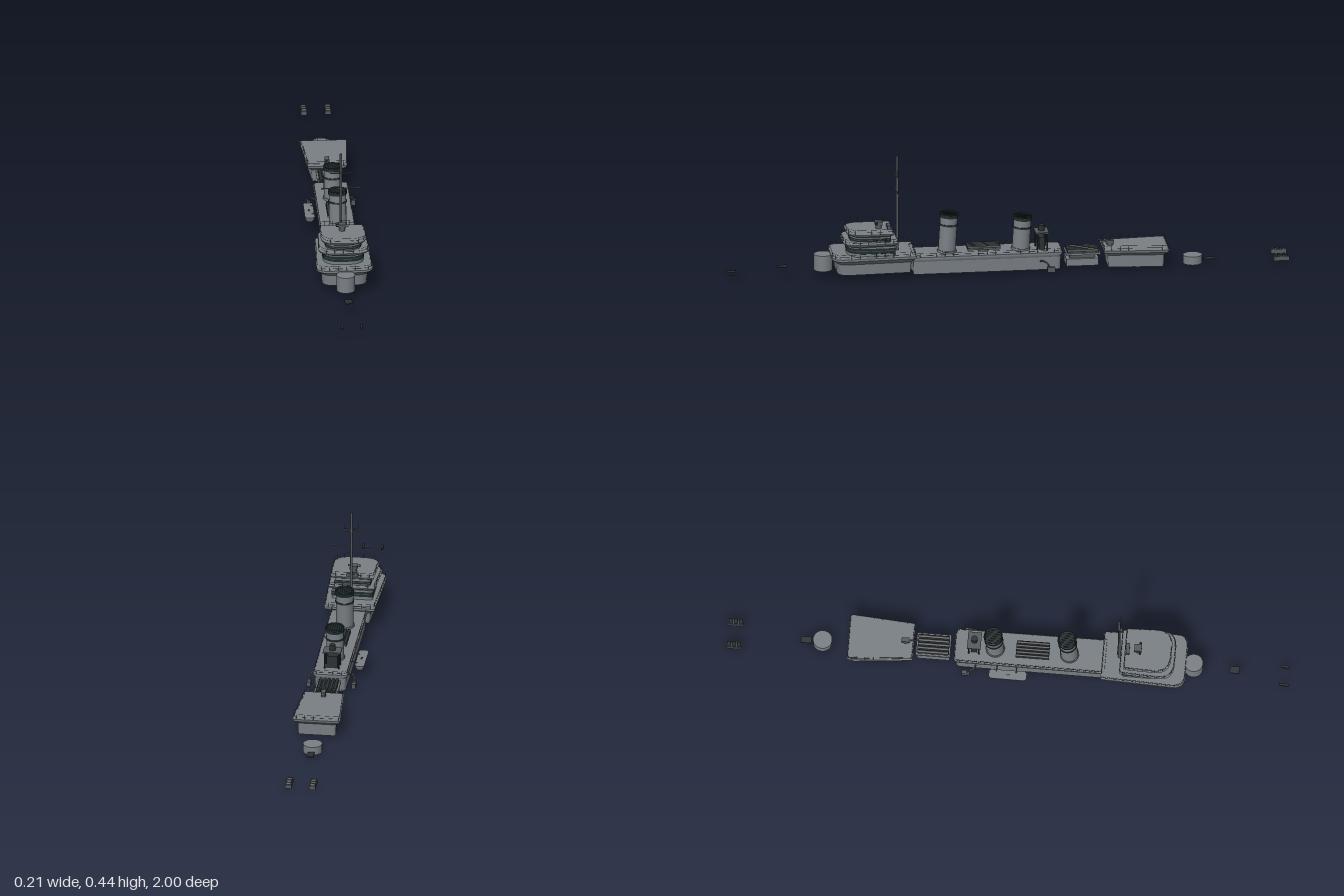
import * as THREE from 'three';
import { mergeGeometries, toCreasedNormals } from 'three/addons/utils/BufferGeometryUtils.js';

const material = (name, color, side = THREE.FrontSide) => {
  const m = new THREE.MeshStandardMaterial({ color, side });
  m.name = name;
  return m;
};
const V = (x, y, z) => new THREE.Vector3(x, y, z);

// Plan outline: tapered rectangle with rounded corners, as [x, z] points
function outline({ wb, wf, zb, zf, rb = 0.008, rf = 0.02 }, inset = 0) {
  const c = [[wf - inset, zf - inset, rf], [wb - inset, zb + inset, rb],
    [inset - wb, zb + inset, rb], [inset - wf, zf - inset, rf]];
  const pts = [];
  c.forEach(([x, z, r], i) => {
    const p = new THREE.Vector2(x, z);
    const toward = (k) => {
      const q = new THREE.Vector2(c[k % 4][0], c[k % 4][1]).sub(p);
      return p.clone().add(q.setLength(Math.min(r, q.length() * 0.49)));
    };
    new THREE.QuadraticBezierCurve(toward(i + 3), p, toward(i + 1))
      .getPoints(6).forEach((v) => pts.push([v.x, v.y]));
  });
  return pts;
}

// Skin through rings of [y, inset] of one plan, closed or open at both ends
function loft(plan, levels, closed = true) {
  const rings = levels.map(([y, d]) => outline(plan, d).map(([x, z]) => [x, y, z]));
  const n = rings[0].length, pos = [];
  for (let k = 0; k < rings.length - 1; k++) {
    for (let i = 0; i < n; i++) {
      const j = (i + 1) % n, a = rings[k], b = rings[k + 1];
      pos.push(...a[i], ...a[j], ...b[j], ...a[i], ...b[j], ...b[i]);
    }
  }
  const lo = rings[0], hi = rings[rings.length - 1];
  for (let i = 1; closed && i < n - 1; i++) {
    pos.push(...hi[0], ...hi[i], ...hi[i + 1], ...lo[0], ...lo[i + 1], ...lo[i]);
  }
  const g = new THREE.BufferGeometry();
  g.setAttribute('position', new THREE.Float32BufferAttribute(pos, 3));
  return toCreasedNormals(g, 0.5);
}

// Thin rod between two points
function rod(a, b, r, sides = 4) {
  const d = b.clone().sub(a);
  const g = new THREE.CylinderGeometry(r, r, d.length(), sides);
  g.applyQuaternion(new THREE.Quaternion().setFromUnitVectors(V(0, 1, 0), d.normalize()));
  const m = a.clone().add(b).multiplyScalar(0.5);
  return g.translate(m.x, m.y, m.z);
}

// Guard rail with two wires and posts spaced along the whole edge
function railing(plan, y, h) {
  const pts = outline(plan, 0.003), parts = [];
  let sincePost = 0.03;
  pts.forEach(([x, z], i) => {
    const [x2, z2] = pts[(i + 1) % pts.length];
    const len = Math.hypot(x2 - x, z2 - z);
    if (len < 1e-5) return;
    for (const f of [0.5, 1]) parts.push(rod(V(x, y + h * f, z), V(x2, y + h * f, z2), 0.0005));
    let at = 0.03 - sincePost;
    for (; at < len; at += 0.03) {
      const px = x + (x2 - x) * at / len, pz = z + (z2 - z) * at / len;
      parts.push(rod(V(px, y, pz), V(px, y + h, pz), 0.0006));
    }
    sincePost = len - at + 0.03;
  });
  return mergeGeometries(parts);
}

export function createModel() {
  const root = new THREE.Group();
  root.name = 'shipSuperstructure';
  const grey = material('paintedSteel', 0x797f84, THREE.DoubleSide);
  const mid = material('darkSteel', 0x54595d);
  const dark = material('blackenedMetal', 0x2b3032);
  const glass = material('windowGlass', 0x1d2b2a);

  const add = (name, geo, mat) => {
    const m = new THREE.Mesh(geo, mat);
    m.name = name;
    root.add(m);
    return m;
  };
  const box = (name, mat, w, h, d, x, y, z) =>
    add(name, new THREE.BoxGeometry(w, h, d).translate(x, y, z), mat);
  const drum = (name, mat, r, y0, y1, x, z, sides = 32) =>
    add(name, new THREE.CylinderGeometry(r, r, y1 - y0, sides).translate(x, (y0 + y1) / 2, z), mat);

  // Deckhouse: walls open underneath, overhanging deck and guard rail
  function house(name, plan, walls, deck, railHeight) {
    add(name + 'Walls', loft(plan, walls, false), grey);
    add(name + 'Deck', loft(plan, deck), grey);
    add(name + 'Railing', railing(plan, deck[deck.length - 1][0], railHeight), mid);
  }

  // Forward house and gun barbette
  house('forwardHouse', { wb: 0.09, wf: 0.102, zb: 0.335, zf: 0.635, rf: 0.045 },
    [[0.026, 0.02], [0.068, 0.017]], [[0.066, 0.017], [0.08, 0.003], [0.082, 0], [0.09, 0]], 0.016);
  drum('forwardBarbette', grey, 0.033, 0.028, 0.086, 0, 0.66);

  // Bridge: two window decks with projecting platforms
  const lower = { wb: 0.073, wf: 0.073, zb: 0.41, zf: 0.578, rf: 0.06 };
  add('lowerBridge', loft(lower, [[0.09, 0], [0.126, 0]]), grey);
  add('lowerWindows', loft(lower, [[0.101, -0.001], [0.12, -0.001]], false), glass);
  const wing = { wb: 0.083, wf: 0.094, zb: 0.4, zf: 0.595, rf: 0.06 };
  add('bridgeWingDeck', loft(wing, [[0.123, 0.018], [0.133, 0.002], [0.139, 0]]), grey);
  add('bridgeWingRailing', railing(wing, 0.139, 0.016), mid);
  const upper = { wb: 0.064, wf: 0.064, zb: 0.425, zf: 0.567, rf: 0.055 };
  add('upperBridge', loft(upper, [[0.139, 0], [0.163, 0]]), grey);
  add('upperWindows', loft(upper, [[0.143, -0.001], [0.155, -0.001]], false), glass);
  const roof = { wb: 0.078, wf: 0.083, zb: 0.415, zf: 0.582, rf: 0.06 };
  add('bridgeRoof', loft(roof, [[0.159, 0.015], [0.167, 0.002], [0.173, 0]]), grey);
  add('bridgeRoofRailing', railing(roof, 0.173, 0.017), mid);

  // Horizontal window bars
  add('lowerWindowBar', loft(lower, [[0.11, -0.0016], [0.1115, -0.0016]], false), mid);
  add('upperWindowBar', loft(upper, [[0.149, -0.0016], [0.1502, -0.0016]], false), mid);

  // Range finder on the bridge roof
  drum('rangefinderPedestal', mid, 0.011, 0.173, 0.188, 0, 0.462, 16);
  box('rangefinderBody', mid, 0.026, 0.012, 0.026, 0, 0.193, 0.462);
  add('rangefinderTube', rod(V(-0.022, 0.194, 0.47), V(0.022, 0.194, 0.47), 0.004, 10), dark);
  box('bridgeLocker', mid, 0.04, 0.012, 0.012, 0, 0.179, 0.426);

  // Mast with yards and aerials
  add('mast', new THREE.CylinderGeometry(0.0042, 0.0046, 0.348, 12).translate(0, 0.264, 0.395), mid);
  for (const [y, w, r] of [[0.306, 0.071, 0.0022], [0.364, 0.038, 0.0022], [0.373, 0.024, 0.0012]]) {
    add('yard', rod(V(-w, y, 0.395), V(w, y, 0.395), r, 8), mid);
  }
  for (const s of [-1, 1]) add('aerial', rod(V(s * 0.024, 0.373, 0.395), V(s * 0.024, 0.391, 0.395), 0.0012, 6), mid);
  box('mastLookout', mid, 0.012, 0.004, 0.014, 0, 0.368, 0.4);

  // Long midship deckhouse
  house('midshipHouse', { wb: 0.062, wf: 0.064, zb: -0.19, zf: 0.35, rb: 0.018, rf: 0.006 },
    [[0.013, 0.007], [0.062, 0.005]], [[0.06, 0.005], [0.07, 0], [0.077, 0]], 0.014);

  // Two slightly raked funnels with bands and dark caps
  for (const [z, top] of [[0.212, 0.222], [-0.052, 0.202]]) {
    const f = new THREE.Group();
    f.name = 'funnel';
    const h = top - 0.077;
    const part = (name, geo, mat) => {
      const m = new THREE.Mesh(geo, mat);
      m.name = name;
      f.add(m);
    };
    const ring = (name, mat, r, y0, y1) =>
      part(name, new THREE.CylinderGeometry(r, r, y1 - y0, 32).translate(0, (y0 + y1) / 2, 0), mat);
    ring('funnelBase', grey, 0.034, 0, 0.008);
    ring('funnelCasing', grey, 0.031, 0, h - 0.014);
    ring('funnelBand', dark, 0.0335, h - 0.046, h - 0.04);
    ring('funnelCap', glass, 0.033, h - 0.016, h - 0.004);
    part('funnelRim', new THREE.TorusGeometry(0.031, 0.003, 6, 32).rotateX(Math.PI / 2).translate(0, h - 0.003, 0), glass);
    for (let i = -3; i <= 3; i++) {
      const half = Math.sqrt(0.03 ** 2 - (i * 0.008) ** 2);
      part('funnelGrille', rod(V(i * 0.008, h - 0.003, -half), V(i * 0.008, h - 0.003, half), 0.001), dark);
    }
    f.position.set(0, 0.077, z + 0.006);
    f.rotation.x = -0.06;
    root.add(f);
  }

  // Slatted tube banks, one between the funnels and one aft
  function tubeBank(z, y, w, len) {
    box('tubeBankBed', mid, w * 2, 0.006, len, 0, y, z);
    const n = 5, r = w / n;
    for (let i = 0; i < n; i++) {
      const x = (i - (n - 1) / 2) * 2 * r;
      add('tube', rod(V(x, y + 0.005, z - len / 2), V(x, y + 0.005, z + len / 2), r * 0.8, 10), dark);
    }
  }
  drum('tubeBankPedestal', mid, 0.02, 0.077, 0.09, 0, 0.088, 20);
  tubeBank(0.088, 0.09, 0.031, 0.118);
  box('tubeMountBase', grey, 0.074, 0.026, 0.115, 0, 0.029, -0.263);
  box('tubeMountWaist', mid, 0.05, 0.018, 0.09, 0, 0.05, -0.263);
  box('tubeMountDeck', grey, 0.084, 0.007, 0.122, 0, 0.06, -0.265);
  tubeBank(-0.265, 0.064, 0.036, 0.112);

  // Searchlight platform behind the second funnel
  for (const x of [-0.025, 0.025]) for (const z of [-0.138, -0.102]) {
    add('platformLeg', rod(V(x, 0.077, z), V(x, 0.142, z), 0.0028, 6), dark);
  }
  box('searchlightPlatform', mid, 0.064, 0.005, 0.048, 0, 0.14, -0.12);
  box('platformLocker', dark, 0.04, 0.044, 0.02, 0, 0.099, -0.12);
  drum('searchlight', dark, 0.011, 0.142, 0.163, 0, -0.12, 16);

  // Boat slung on one side
  const boat = { wb: 0.017, wf: 0.018, zb: -0.062, zf: 0.073, rb: 0.012, rf: 0.014 };
  add('boat', loft(boat, [[0.036, 0.007], [0.044, 0.002], [0.055, 0]]), grey).position.x = -0.088;
  box('boatThwart', mid, 0.006, 0.003, 0.012, -0.088, 0.056, 0.005);
  for (const z of [-0.035, 0.035]) add('boatArm', rod(V(-0.055, 0.062, z), V(-0.08, 0.054, z), 0.002, 6), mid);

  // Side davits with hanging floats
  for (const s of [-1, 1]) {
    const path = new THREE.CatmullRomCurve3([V(s * 0.055, 0.045, -0.11), V(s * 0.07, 0.05, -0.115), V(s * 0.079, 0.045, -0.13), V(s * 0.079, 0.028, -0.14)]);
    add('davit', new THREE.TubeGeometry(path, 12, 0.003, 8), mid);
    box('davitFloat', mid, 0.014, 0.018, 0.028, s * 0.08, 0.02, -0.145);
  }

  // Aft house with lower trunk and light gun
  house('aftHouse', { wb: 0.086, wf: 0.07, zb: -0.568, zf: -0.335, rb: 0.012, rf: 0.008 },
    [[0.012, 0.018], [0.058, 0.016]], [[0.056, 0.016], [0.068, 0.002], [0.077, 0]], 0.018);
  drum('aftTrunk', grey, 0.034, 0.001, 0.058, 0, -0.465);
  drum('gunPedestal', mid, 0.009, 0.077, 0.088, 0, -0.365, 14);
  box('gunBody', mid, 0.016, 0.012, 0.028, 0, 0.09, -0.365);
  add('gunBarrel', rod(V(0, 0.088, -0.37), V(0, 0.101, -0.318), 0.003, 8), mid);

  // Aft barbette and hatches along the centreline
  drum('aftBarbette', grey, 0.034, 0.001, 0.031, 0, -0.66);
  box('aftHatch', dark, 0.024, 0.004, 0.038, 0, 0.014, -0.718);
  box('foreHatch', dark, 0.026, 0.004, 0.034, 0, 0.044, 0.805);

  // Stern racks and bow fittings
  for (const s of [-1, 1]) {
    box('sternRack', mid, 0.022, 0.015, 0.056, s * 0.043, 0.0195, -0.972);
    for (let i = 0; i < 3; i++) {
      const z = -0.99 + i * 0.018;
      add('rackDrum', rod(V(s * 0.043 - 0.009, 0.027, z), V(s * 0.043 + 0.009, 0.027, z), 0.0065, 12), dark);
    }
    box('bowFitting', dark, 0.008, 0.007, 0.032, s * 0.034, 0.023, 0.984);
  }
  return root;
}
